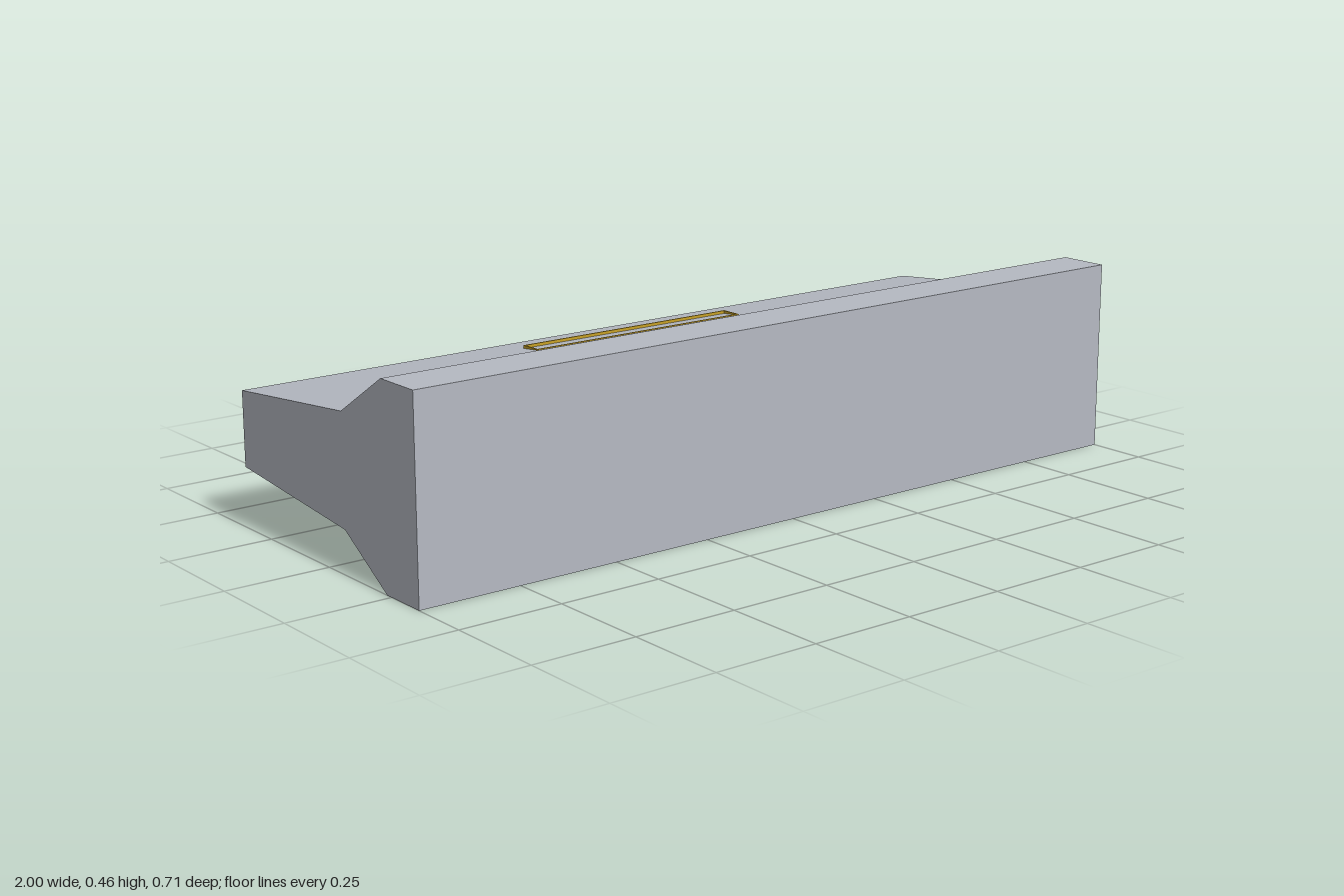
import * as THREE from 'three';

const bodyGrey = new THREE.MeshStandardMaterial({ name: 'bodyGrey', color: 0xb6bac3 });
const trimGold = new THREE.MeshStandardMaterial({ name: 'trimGold', color: 0xc9a227 });

const MID = 0.2305; // height of the horizontal symmetry plane

export function createModel() {
  const model = new THREE.Group();
  model.name = 'flaredBlock';

  // Body: upper half of the side profile as [z, height above mid], mirrored below
  const half = [[0.355, 0.2305], [0.233, 0.2305], [0.071, 0.129], [-0.355, 0.088]];
  const points = [
    ...half.map(([z, h]) => new THREE.Vector2(-z, MID + h)),
    ...half.slice().reverse().map(([z, h]) => new THREE.Vector2(-z, MID - h)),
  ];
  const bodyGeometry = new THREE.ExtrudeGeometry(new THREE.Shape(points), { depth: 2, bevelEnabled: false });
  bodyGeometry.translate(0, 0, -1).rotateY(Math.PI / 2);
  const body = new THREE.Mesh(bodyGeometry, bodyGrey);
  body.name = 'body';
  model.add(body);

  // Thin rectangular trim frames sunk into the upper and lower slopes
  const width = 0.61, depth = 0.056, bar = 0.004, height = 0.02;
  const outline = (w, d, Type) => new Type([
    new THREE.Vector2(-w / 2, -d / 2), new THREE.Vector2(w / 2, -d / 2),
    new THREE.Vector2(w / 2, d / 2), new THREE.Vector2(-w / 2, d / 2),
  ]);
  const frameShape = outline(width, depth, THREE.Shape);
  frameShape.holes.push(outline(width - 2 * bar, depth - 2 * bar, THREE.Path));
  const frameGeometry = new THREE.ExtrudeGeometry(frameShape, { depth: height, bevelEnabled: false });
  frameGeometry.translate(0, 0, -height / 2).rotateX(-Math.PI / 2);

  for (const [name, side] of [['upperTrimFrame', 1], ['lowerTrimFrame', -1]]) {
    const frame = new THREE.Mesh(frameGeometry, trimGold);
    frame.name = name;
    frame.position.set(0, MID + side * (0.104 - height / 2), -0.24);
    model.add(frame);
  }
  return model;
}
